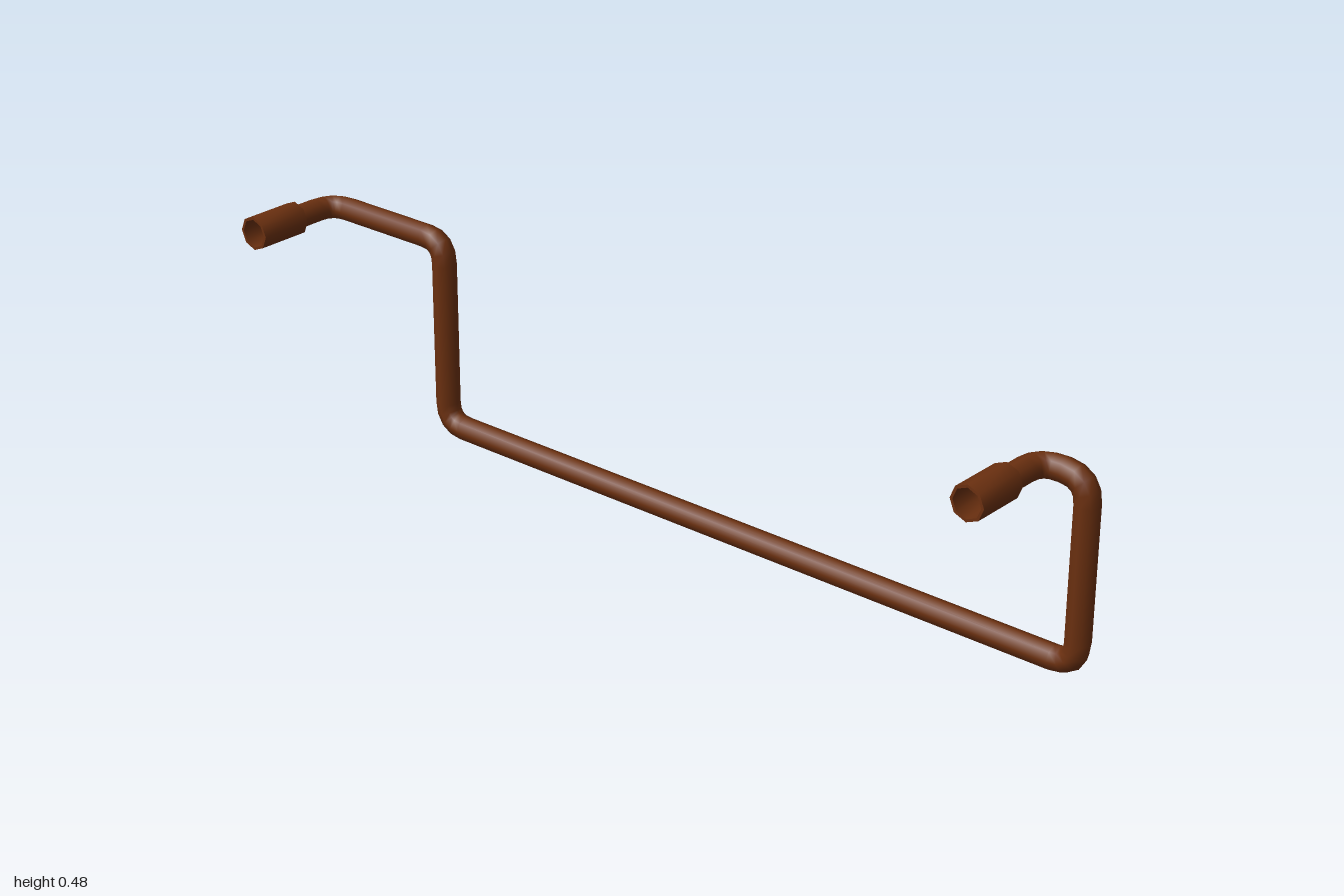
import * as THREE from 'three';
import { toCreasedNormals } from 'three/addons/utils/BufferGeometryUtils.js';

const SIDES = 8, PIPE_R = 0.026, SLEEVE_R = 0.037, SLEEVE_START = 0.008, SLEEVE_END = 0.128;

// Polyline with rounded corners; rings sit only where the pipe bends or ends.
class BentPath extends THREE.Curve {
  constructor(corners, trim, steps = 4) {
    super();
    const p = corners.map((c) => new THREE.Vector3(...c));
    const last = p.length - 1;
    const direction = (a, b) => b.clone().sub(a).normalize();
    this.points = [p[0]];
    this.tangents = [direction(p[0], p[1])];
    for (let i = 1; i < last; i++) {
      const before = direction(p[i], p[i - 1]), after = direction(p[i], p[i + 1]);
      const bend = new THREE.QuadraticBezierCurve3(
        p[i].clone().addScaledVector(before, trim), p[i], p[i].clone().addScaledVector(after, trim));
      for (let s = 0; s <= steps; s++) {
        this.points.push(bend.getPoint(s / steps));
        this.tangents.push(bend.getTangent(s / steps));
      }
    }
    this.points.push(p[last]);
    this.tangents.push(direction(p[last - 1], p[last]));
    this.count = this.points.length - 1;
  }
  getPointAt(u, target = new THREE.Vector3()) {
    return target.copy(this.points[Math.round(u * this.count)]);
  }
  getTangentAt(u, target = new THREE.Vector3()) {
    return target.copy(this.tangents[Math.round(u * this.count)]);
  }
}

export function createModel() {
  const group = new THREE.Group();
  const material = new THREE.MeshStandardMaterial({ color: 0x6b3010 });
  const add = (name, geometry) => {
    const mesh = new THREE.Mesh(geometry, material);
    mesh.name = name;
    group.add(mesh);
    return mesh;
  };

  // Bent pipe running from one sleeve to the other
  const back = -0.102, end = SLEEVE_START + 0.005;
  const path = new BentPath([
    [-0.963, 0.443, end],
    [-0.963, 0.443, back],
    [-0.63, 0.443, back],
    [-0.63, PIPE_R, back],
    [0.974, PIPE_R, back],
    [0.974, 0.408, back],
    [0.87, 0.413, back],
    [0.87, 0.413, end],
  ], 0.05);
  add('pipe', new THREE.TubeGeometry(path, path.count, PIPE_R, SIDES, false));

  // Hollow socket sleeves at both ends, opening to the front
  const length = SLEEVE_END - SLEEVE_START;
  const profile = [
    [0.018, 0], [SLEEVE_R, 0], [SLEEVE_R, length], [0.031, length], [0.031, 0.01], [0, 0.01],
  ].map(([r, y]) => new THREE.Vector2(r, y));
  const sleeve = toCreasedNormals(new THREE.LatheGeometry(profile, SIDES).rotateX(Math.PI / 2), 1);
  add('rightSleeve', sleeve).position.set(-0.963, 0.443, SLEEVE_START);
  add('leftSleeve', sleeve).position.set(0.87, 0.413, SLEEVE_START);

  return group;
}
